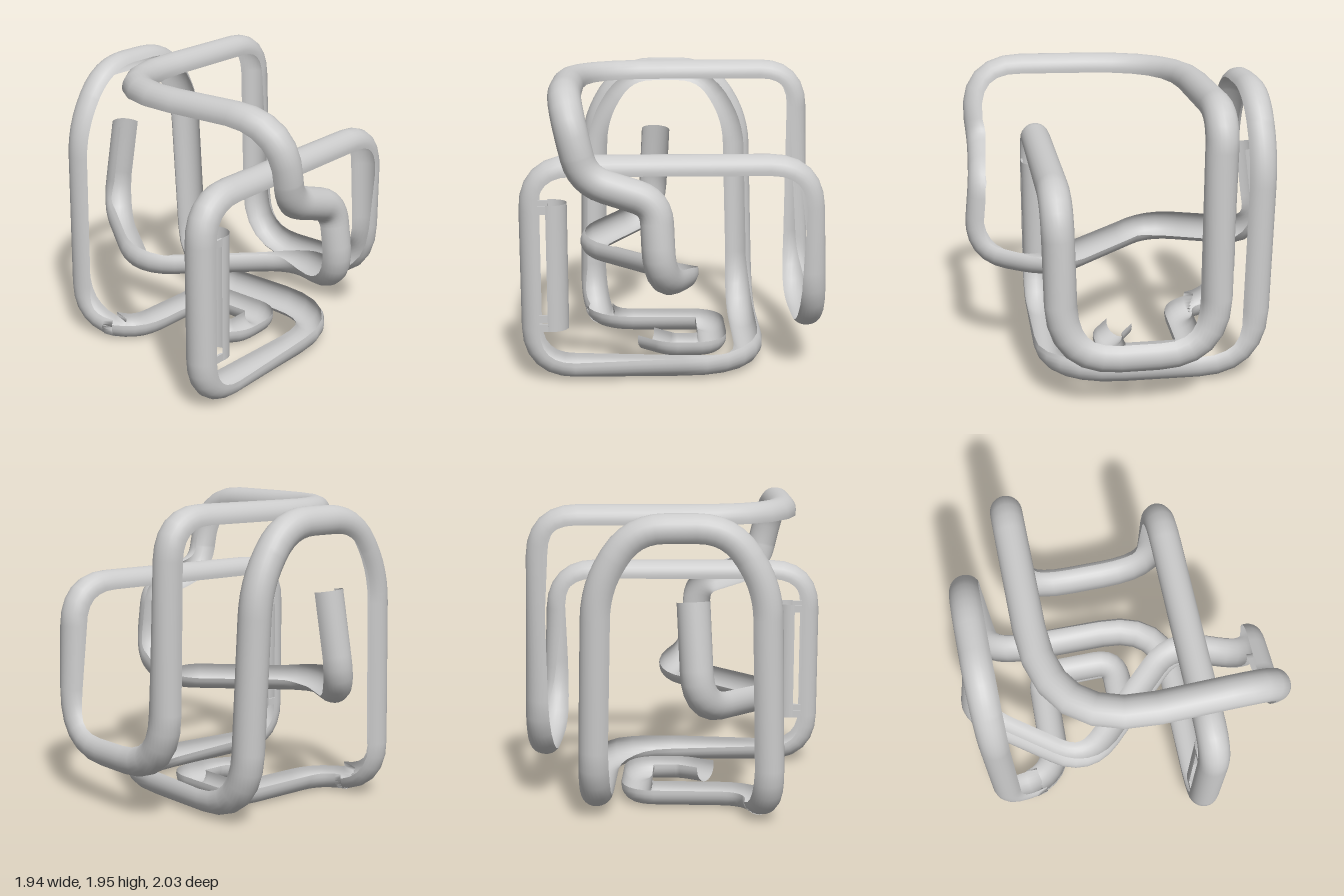
import * as THREE from 'three';

const R = 0.1;          // channel radius
const HALF = 1.77;      // half of the open arc, a little over a quarter turn

// Runs of the channel in order. Corners are x, y, z, rounding length.
// The closed back faces away from (0, centreY, 0), each axis scaled by weight.
const RUNS = [
  // free end at the back, dropping and sweeping low to the front
  { centreY: 1.4, weight: [1, 1, 1], corners: [
    [-0.1, 1.42, -0.86, 0], [-0.13, 0.8, -0.95, 0.22], [-0.6, 0.73, -0.28, 0.22], [0.1, 0.73, 0.45, 0.2]] },
  // wavy front riser
  { centreY: 1.3, weight: [0, 1, 1], corners: [
    [-0.1, 0.78, 0.93, 0.22], [-0.12, 1.26, 0.88, 0.12], [-0.55, 1.4, 0.87, 0.14], [-0.66, 1.88, 0.92, 0.34]] },
  // top run with its wide bend, then the rear bar's corner
  { centreY: 1, weight: [0, 1, 0], corners: [[-0.68, 1.86, -0.5, 0.65]] },
  { centreY: 1, weight: [1, 1, 0], corners: [[0.83, 1.86, -0.5, 0.22]] },
  // U on the left side
  { centreY: 1.1, weight: [1, 1, 0.6], corners: [[0.87, 0.38, -0.47, 0.35], [0.87, 0.38, 0.47, 0.35]] },
  // front loop
  { centreY: 0.8, weight: [1, 1, 0], corners: [
    [0.83, 1.38, 0.49, 0.24], [-0.87, 1.38, 0.49, 0.24], [-0.87, 0.14, 0.49, 0.24]] },
  // floor run to the back
  { centreY: 0.8, weight: [1, 1, 0.3], corners: [[0.5, 0.14, 0.49, 0.45]] },
  // arch at the back
  { centreY: 1.1, weight: [1, 1, 0.6], corners: [
    [0.51, 0.14, -0.8, 0.35], [0.47, 1.5, -0.84, 0.19], [0.25, 1.84, -0.84, 0.19],
    [-0.31, 1.84, -0.84, 0.19], [-0.53, 1.5, -0.84, 0.19], [-0.56, 0.14, -0.84, 0.25]] },
  // floor hook with the second free end
  { centreY: 1, weight: [0, 1, 0], corners: [
    [-0.47, 0.13, -0.48, 0.2], [0.27, 0.13, -0.46, 0.12], [0.27, 0.13, 0.08, 0.13],
    [-0.02, 0.13, 0.08, 0.05], [-0.18, 0.14, -0.03, 0]] },
];

// Rounds every corner and returns the centre, direction and back at each section
function channelSections() {
  const corners = RUNS.flatMap(run => run.corners.map(([x, y, z, r]) => ({ run, r, p: new THREE.Vector3(x, y, z) })));
  const sections = [];
  const addSection = (run, c, tan) => {
    const back = c.clone().sub(new THREE.Vector3(0, run.centreY, 0)).multiply(new THREE.Vector3(...run.weight));
    back.addScaledVector(tan, -back.dot(tan)).normalize();
    sections.push({ c, tan, back });
  };
  corners.forEach(({ run, r, p }, i) => {
    const before = corners[i - 1]?.p, after = corners[i + 1]?.p;
    if (!before) return addSection(run, p, after.clone().sub(p).normalize());
    if (!after) return addSection(run, p, p.clone().sub(before).normalize());
    const start = p.clone().addScaledVector(before.clone().sub(p).normalize(), r);
    const end = p.clone().addScaledVector(after.clone().sub(p).normalize(), r);
    const bend = new THREE.QuadraticBezierCurve3(start, p, end);
    for (let k = 0; k <= 6; k++) addSection(run, bend.getPoint(k / 6), bend.getTangent(k / 6));
  });
  return sections;
}

// Sweeps the open arc through the sections
function channelGeometry() {
  const sections = channelSections(), arc = 14, pos = [], idx = [];
  sections.forEach(({ c, tan, back }, i) => {
    const side = new THREE.Vector3().crossVectors(tan, back);
    for (let j = 0; j <= arc; j++) {
      const a = (j / arc * 2 - 1) * HALF;
      const p = c.clone().addScaledVector(back, R * Math.cos(a)).addScaledVector(side, R * Math.sin(a));
      pos.push(p.x, p.y, p.z);
      if (i < sections.length - 1 && j < arc) {
        const q = i * (arc + 1) + j, s = q + arc + 1;
        idx.push(q, q + 1, s, q + 1, s + 1, s);
      }
    }
  });
  const g = new THREE.BufferGeometry();
  g.setAttribute('position', new THREE.Float32BufferAttribute(pos, 3));
  g.setIndex(idx);
  g.computeVertexNormals();
  return g;
}

export function createModel() {
  const model = new THREE.Group();
  const mat = new THREE.MeshStandardMaterial({ color: 0xcccccc, side: THREE.DoubleSide });
  const add = (name, geo, x = 0, y = 0, z = 0) => {
    const m = new THREE.Mesh(geo, mat);
    m.name = name;
    m.position.set(x, y, z);
    model.add(m);
  };

  add('channelTrack', channelGeometry());

  // Open cover facing the upright of the front loop, held by small tabs
  add('cover', new THREE.CylinderGeometry(R, R, 0.81, 16, 1, true, Math.PI / 2 - 1.85, 3.7), -0.77, 0.775, 0.49);
  for (const y of [0.395, 1.15])
    for (const z of [0.4, 0.58])
      add('coverTab', new THREE.BoxGeometry(0.08, 0.05, 0.015), -0.835, y, z);

  return model;
}
